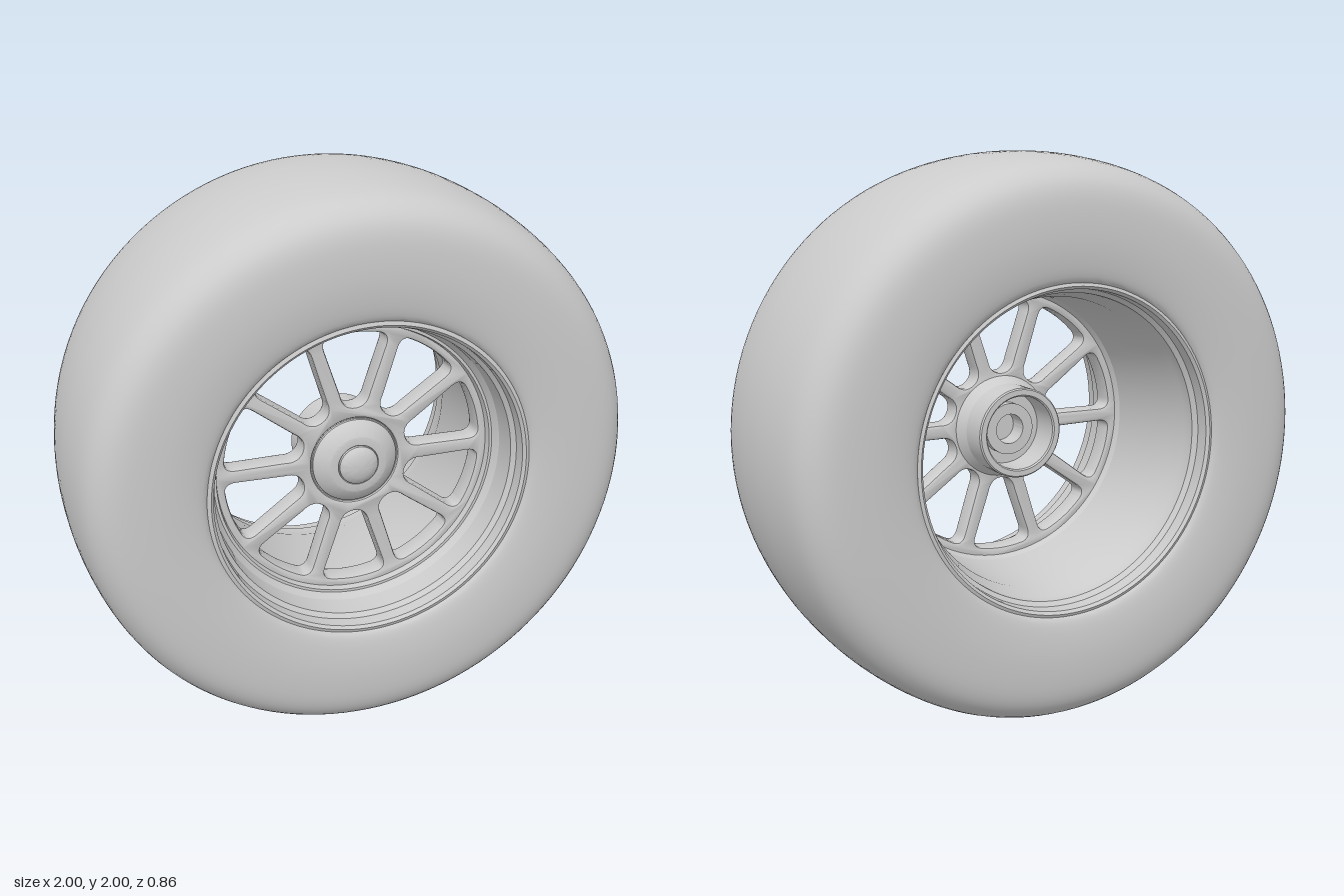
import * as THREE from 'three';
import { toCreasedNormals } from 'three/addons/utils/BufferGeometryUtils.js';

const material = new THREE.MeshStandardMaterial({ color: 0xcccccc });
const v2 = (p) => new THREE.Vector2(p[0], p[1]);

// Turns a [radius, z] profile around the wheel axle
function turned(name, points, segments, crease = 0.5) {
  let geo = new THREE.LatheGeometry(points, segments);
  geo.rotateX(Math.PI / 2);
  geo = toCreasedNormals(geo, crease);
  const mesh = new THREE.Mesh(geo, material);
  mesh.name = name;
  return mesh;
}

// Rounded wedge opening between two spokes, turned to the given angle
function spokeWindow(angle) {
  const s = new THREE.Path();
  s.moveTo(0, 0.2);
  s.quadraticCurveTo(0.043, 0.2, 0.053, 0.25);
  s.lineTo(0.109, 0.415);
  s.quadraticCurveTo(0.122, 0.455, 0.085, 0.462);
  s.quadraticCurveTo(0, 0.479, -0.085, 0.462);
  s.quadraticCurveTo(-0.122, 0.455, -0.109, 0.415);
  s.lineTo(-0.053, 0.25);
  s.quadraticCurveTo(-0.043, 0.2, 0, 0.2);
  const c = new THREE.Vector2();
  return new THREE.Path(s.getPoints(8).map((p) => p.rotateAround(c, angle)));
}

export function createModel() {
  const wheel = new THREE.Group();
  wheel.name = 'wheel';
  const axle = new THREE.Group();
  axle.name = 'wheelAssembly';
  axle.position.y = 1;
  wheel.add(axle);

  // Tyre: smooth rounded shoulders, mirrored front to back
  const half = [[0.572, 0.395], [0.585, 0.41], [0.63, 0.422], [0.71, 0.43], [0.8, 0.428],
    [0.87, 0.417], [0.92, 0.39], [0.96, 0.335], [0.983, 0.24], [0.997, 0.11]];
  const section = [...half.map(([r, z]) => [r, -z]), [1, 0], ...[...half].reverse()];
  const tyrePts = new THREE.SplineCurve(section.map(v2)).getPoints(60);
  tyrePts.push(v2([0.572, -0.395]));
  axle.add(turned('tyre', tyrePts, 128, 0.6));

  // Rim barrel: stepped lips at both ends, drop centre behind the spokes
  const rim = [
    [0.575, -0.4], [0.575, 0.4], [0.562, 0.405], [0.552, 0.395], [0.55, 0.35],
    [0.535, 0.335], [0.53, 0.25], [0.513, 0.225], [0.503, 0.225], [0.497, 0.2],
    [0.497, 0.12], [0.51, 0.1], [0.515, -0.24], [0.535, -0.29], [0.537, -0.335],
    [0.552, -0.35], [0.554, -0.395], [0.564, -0.405], [0.575, -0.4],
  ];
  axle.add(turned('rimBarrel', rim.map(v2), 128));

  // Ten-spoke disc cut from a plate, with bevelled window edges
  const disc = new THREE.Shape().absarc(0, 0, 0.512, 0, Math.PI * 2, false);
  for (let i = 0; i < 10; i++) disc.holes.push(spokeWindow(i * Math.PI / 5));
  disc.holes.push(new THREE.Path().absarc(0, 0, 0.16, 0, Math.PI * 2, true));
  const plate = new THREE.ExtrudeGeometry(disc, {
    depth: 0.06, curveSegments: 48, bevelEnabled: true,
    bevelSize: 0.01, bevelThickness: 0.012, bevelOffset: -0.01, bevelSegments: 2,
  });
  plate.translate(0, 0, 0.13);
  const spokes = new THREE.Mesh(toCreasedNormals(plate, 0.6), material);
  spokes.name = 'spokes';
  axle.add(spokes);

  // Hub: open sleeve at the back with a stepped bore
  const hub = [
    [0, 0.13], [0.055, 0.13], [0.055, 0.055], [0.095, 0.055], [0.095, 0.09],
    [0.135, 0.09], [0.135, -0.025], [0.14, -0.03], [0.16, -0.03], [0.165, -0.025],
    [0.165, 0.08], [0.19, 0.12], [0.19, 0.135], [0.165, 0.14], [0.165, 0.195],
    [0.158, 0.19], [0, 0.19],
  ];
  axle.add(turned('hub', hub.map(v2), 64));

  // Centre nut: tapered collar around a domed cap
  const nut = [[0.154, 0.185], [0.154, 0.2], [0.14, 0.215], [0.106, 0.238], [0.1, 0.24],
    [0.074, 0.24], [0.072, 0.234], [0, 0.234]];
  axle.add(turned('centreNut', nut.map(v2), 64));
  const cap = [[0.07, 0.23], [0.07, 0.245], [0.06, 0.256], [0.04, 0.264], [0.02, 0.268], [0, 0.269]];
  axle.add(turned('centreCap', cap.map(v2), 48, 0.7));

  return wheel;
}
